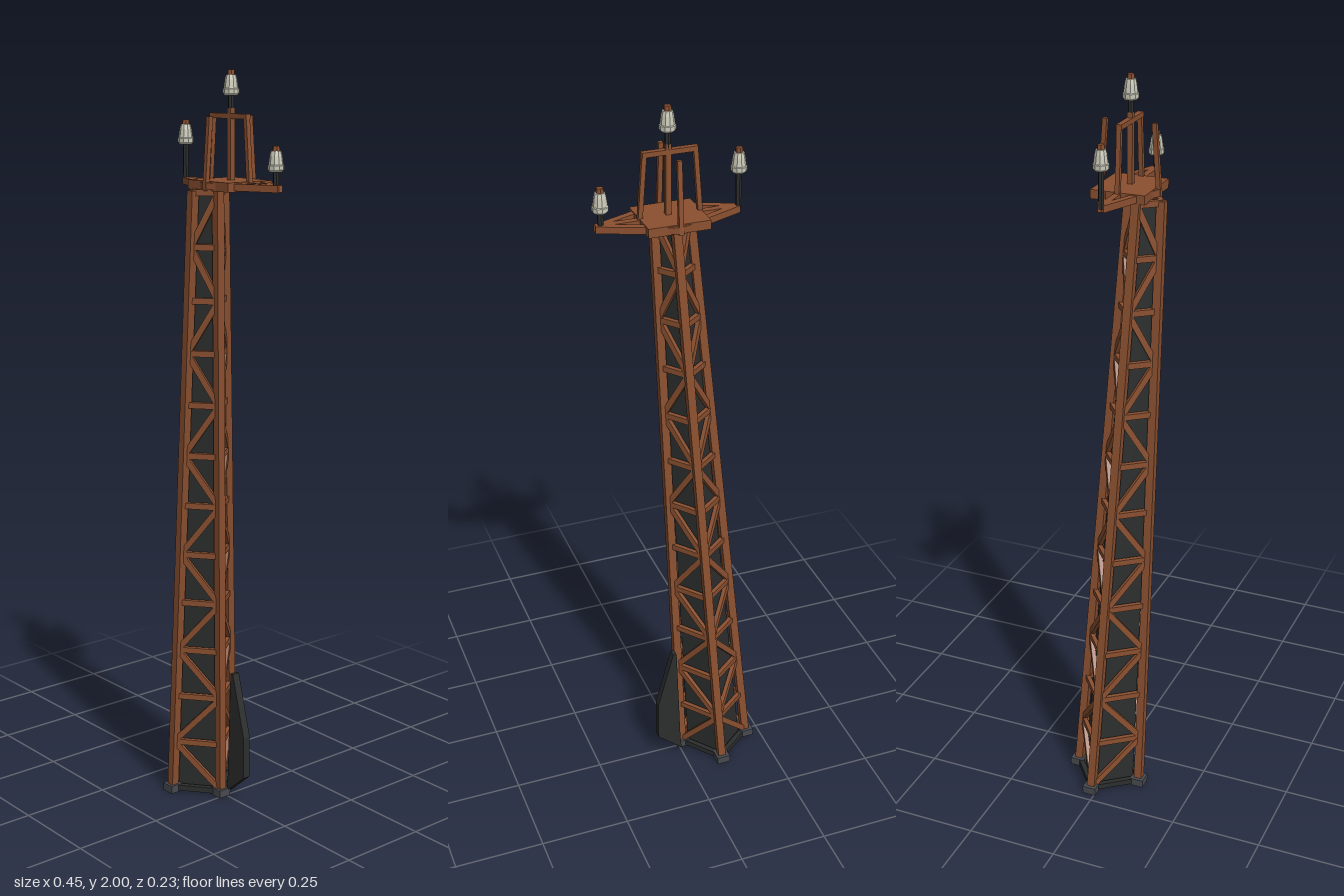
import * as THREE from 'three';

const mat = (name, color) => {
  const m = new THREE.MeshStandardMaterial({ color, flatShading: true });
  m.name = name;
  return m;
};

export function createModel() {
  const rust = mat('rust brown', 0x8b5030);
  const dark = mat('dark panel', 0x2c2d2d);
  const slate = mat('slate foot', 0x484a50);
  const glass = mat('pale lamp', 0xc9c8b8);
  const model = new THREE.Group();
  const V = (x, y, z) => new THREE.Vector3(x, y, z);

  const add = (name, geo, material, parent = model) => {
    const m = new THREE.Mesh(geo, material);
    m.name = name;
    parent.add(m);
    return m;
  };
  const group = (name) => {
    const g = new THREE.Group();
    g.name = name;
    model.add(g);
    return g;
  };
  // Rectangular bar from a to b; w is measured along the side direction
  const bar = (name, a, b, w, d, side, parent, material = rust) => {
    const dir = b.clone().sub(a);
    const len = dir.length();
    dir.normalize();
    const z = side.clone().cross(dir).normalize();
    const x = dir.clone().cross(z);
    const m = add(name, new THREE.BoxGeometry(w, len, d), material, parent);
    m.quaternion.setFromRotationMatrix(new THREE.Matrix4().makeBasis(x, dir, z));
    m.position.copy(a).add(b).multiplyScalar(0.5);
    return m;
  };

  // Leaning, tapering square section: p and q are corner coordinates from -1 to 1
  const H = 1.7;
  const towerPoint = (p, q, y) => {
    const t = y / H, s = 1 - 0.53 * t;
    return V(
      -0.11 + 0.108 * t + s * (0.098 * p - 0.012 * q), y,
      -0.003 + 0.06 * t + s * (0.012 * p + 0.098 * q));
  };
  const corners = [[-1, 0], [0, 1], [1, 0], [0, -1]];

  // Dark core inside the lattice
  const core = new THREE.CylinderGeometry(0.8, 0.8, H - 0.02, 4);
  const pos = core.attributes.position;
  for (let i = 0; i < pos.count; i++) {
    const v = towerPoint(pos.getX(i), pos.getZ(i), pos.getY(i) + H / 2);
    pos.setXYZ(i, v.x, v.y, v.z);
  }
  core.computeVertexNormals();
  add('towerCore', core, dark);

  // Legs, feet and braces
  const lattice = group('lattice');
  const feet = group('feet');
  const bays = 12;
  corners.forEach(([p, q], i) => {
    const [p2, q2] = corners[(i + 1) % 4];
    bar('leg', towerPoint(p, q, 0.01), towerPoint(p, q, H), 0.022, 0.022, V(1, 0, 0), lattice);
    const f = towerPoint(p, q, 0);
    add('foot', new THREE.BoxGeometry(0.038, 0.022, 0.038), slate, feet).position.set(f.x, 0.011, f.z);
    const out = towerPoint(p + p2, q + q2, 0).sub(towerPoint(0, 0, 0)).normalize();
    for (let k = 0; k < bays; k++) {
      const y0 = 0.015 + k * (H - 0.02) / bays, y1 = 0.015 + (k + 1) * (H - 0.02) / bays;
      bar('horizontalBrace', towerPoint(p, q, y1), towerPoint(p2, q2, y1), 0.012, 0.016, out, lattice);
      const rising = (k + i) % 2 === 0;
      bar('diagonalBrace', towerPoint(p, q, rising ? y0 : y1), towerPoint(p2, q2, rising ? y1 : y0),
        0.012, 0.016, out, lattice);
    }
    bar('baseBeam', towerPoint(p, q, 0.012), towerPoint(p2, q2, 0.012), 0.014, 0.016, out, lattice, dark);
  });

  // Side fin at the foot of the left leg
  const finShape = new THREE.Shape();
  [[0, 0.012], [0.073, 0.075], [0.073, 0.195], [0.026, 0.37], [0.016, 0.37], [0.004, 0.05]]
    .forEach(([x, y], i) => (i ? finShape.lineTo(x, y) : finShape.moveTo(x, y)));
  const fin = new THREE.ExtrudeGeometry(finShape, { depth: 0.022, bevelEnabled: false });
  add('fin', fin, dark).position.z = -0.025;

  // Platform deck with a diamond of outrigger beams below
  const cx = 0.021, cz = 0.005, deckY = 1.712, UP = V(0, 1, 0);
  const platform = group('platform');
  add('deck', new THREE.BoxGeometry(0.162, 0.024, 0.146), rust, platform).position.set(cx, deckY, cz);
  const left = V(0.212, deckY, cz), right = V(-0.16, deckY, cz);
  for (const tip of [left, right]) {
    bar('centreBeam', V(cx, deckY, cz), tip, 0.018, 0.018, UP, platform);
    for (const s of [-1, 1]) {
      bar('diagonalBeam', V(cx, deckY, cz + s * 0.076), tip, 0.018, 0.018, UP, platform);
    }
  }

  // Leaning posts around the deck and the overhead bar
  const frame = group('topFrame');
  const topY = 1.885;
  for (const s of [-1, 1]) {
    bar('framePost', V(cx + s * 0.08, 1.7, cz), V(cx + s * 0.066, topY, cz), 0.012, 0.012, V(1, 0, 0), frame);
    bar('sidePost', V(cx, 1.7, cz + s * 0.08), V(cx, topY, cz + s * 0.066), 0.012, 0.012, V(1, 0, 0), frame);
  }
  bar('overheadBar', V(cx - 0.072, topY, cz), V(cx + 0.072, topY, cz), 0.013, 0.015, UP, frame);

  // Lamps on thin poles
  const lamp = (x, bottom, poleFrom) => {
    const g = group('lamp');
    g.position.set(x, bottom, cz);
    const len = bottom - poleFrom + 0.004;
    add('lampPole', new THREE.CylinderGeometry(0.0075, 0.0075, len, 6), dark, g).position.y = 0.004 - len / 2;
    const profile = [[0, 0], [0.016, 0], [0.021, 0.006], [0.021, 0.016], [0.019, 0.018],
      [0.016, 0.04], [0.013, 0.052], [0, 0.052]].map(([r, y]) => new THREE.Vector2(r, y));
    add('lampGlass', new THREE.LatheGeometry(profile, 10), glass, g);
    add('lampCap', new THREE.CylinderGeometry(0.009, 0.01, 0.013, 6), rust, g).position.y = 0.0575;
  };
  lamp(-0.16, 1.807, deckY);
  lamp(0.026, 1.936, 1.89);
  lamp(0.2, 1.753, deckY);

  // Mast carrying the highest lamp
  bar('mast', V(0.026, 1.72, cz), V(0.026, 1.905, cz), 0.014, 0.014, V(1, 0, 0), frame);

  return model;
}
